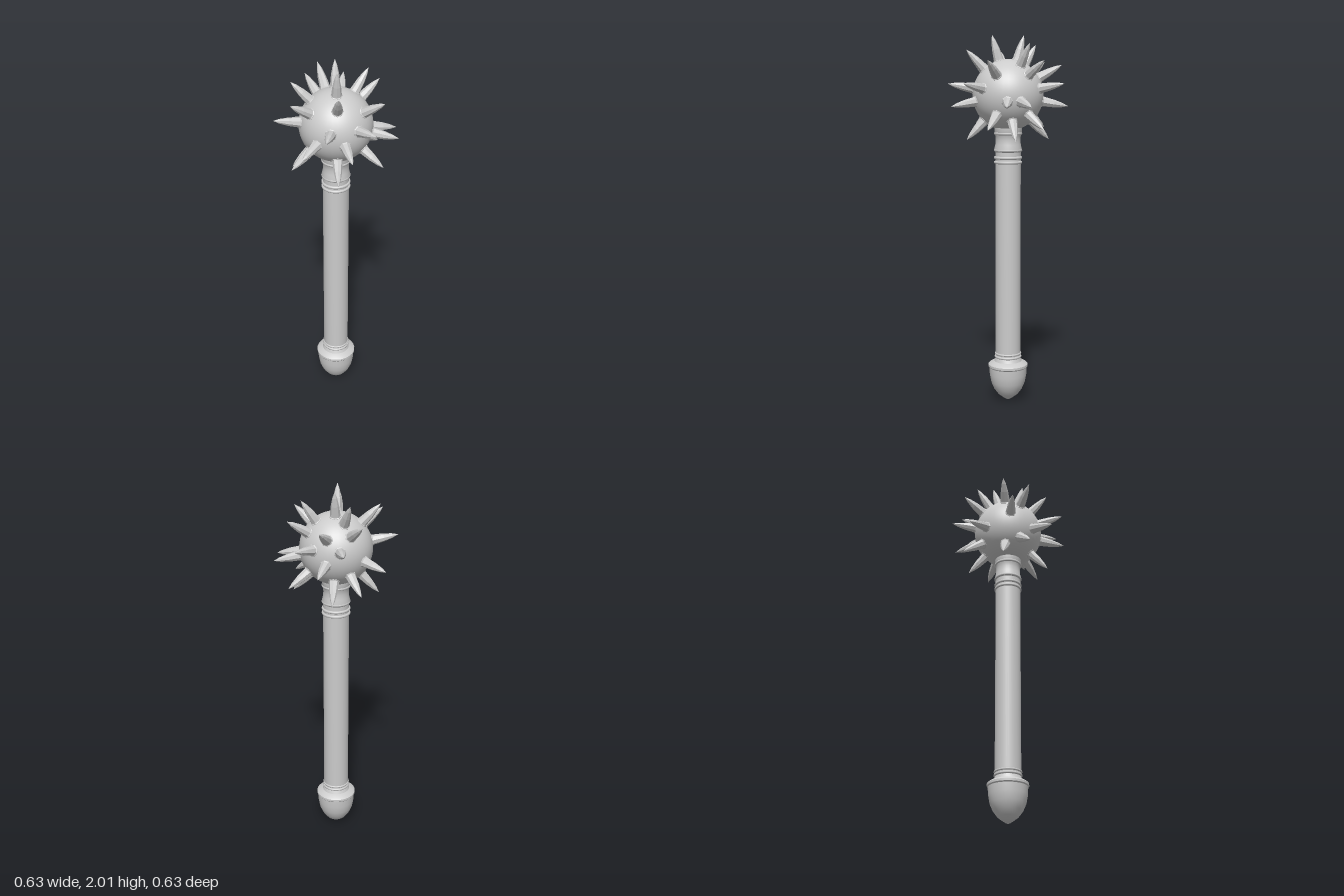
import * as THREE from 'three';
import { toCreasedNormals } from 'three/addons/utils/BufferGeometryUtils.js';

const HEAD_Y = 1.69;
const HEAD_R = 0.19;

const metal = new THREE.MeshStandardMaterial({ color: 0xcccccc, side: THREE.DoubleSide });
const faceted = new THREE.MeshStandardMaterial({ color: 0xcccccc, flatShading: true, side: THREE.DoubleSide });

// Turned part from [radius, height] pairs
function turned(name, profile, segments = 32) {
  const points = profile.map(([r, y]) => new THREE.Vector2(r, y));
  const geometry = toCreasedNormals(new THREE.LatheGeometry(points, segments), 0.6);
  const mesh = new THREE.Mesh(geometry, metal);
  mesh.name = name;
  return mesh;
}

// Rounded band around the handle
function band(name, y, radius, thickness) {
  const mesh = new THREE.Mesh(new THREE.TorusGeometry(radius, thickness, 8, 32), metal);
  mesh.rotation.x = Math.PI / 2;
  mesh.position.y = y;
  mesh.name = name;
  return mesh;
}

// Directions of the spike tips from the centre of the head
const spikeDirections = [
  // top
  [-0.06, 0.31, -0.06], [0.06, 0.31, 0.06], [0.06, 0.27, -0.18], [-0.18, 0.27, -0.06],
  // front
  [0.06, -0.06, 0.315], [-0.18, 0.06, 0.27], [0.18, 0.06, 0.27], [-0.06, 0.18, 0.27], [-0.06, -0.18, 0.27],
  // back
  [-0.06, 0.06, -0.315], [-0.18, -0.06, -0.27], [0.18, -0.06, -0.27], [0.06, 0.18, -0.27], [0.06, -0.18, -0.27],
  // left
  [0.315, 0.06, 0.06], [0.27, -0.06, 0.18], [0.27, -0.06, -0.18], [0.27, 0.18, -0.06], [0.27, -0.18, -0.06],
  // right
  [-0.315, -0.06, 0.06], [-0.27, 0.06, -0.18], [-0.27, 0.18, -0.06], [-0.27, -0.18, -0.06],
  // diagonals
  [0.16, 0.24, 0.16], [-0.16, 0.24, 0.16], [-0.16, 0.16, -0.24],
  [0.16, -0.24, 0.16], [-0.16, -0.24, 0.16], [0.16, -0.24, -0.16], [-0.16, -0.24, -0.16],
];

export function createModel() {
  const model = new THREE.Group();
  model.name = 'spikedMace';

  // Acorn-shaped pommel
  model.add(turned('pommel', [
    [0, 0], [0.012, 0.006], [0.028, 0.016], [0.055, 0.037], [0.078, 0.068], [0.094, 0.106],
    [0.102, 0.15], [0.104, 0.19], [0.109, 0.196], [0.109, 0.208], [0.1, 0.216], [0.076, 0.226], [0.068, 0.245],
  ]));

  // Plain shaft
  model.add(turned('shaft', [[0.068, 0.23], [0.069, 0.28], [0.069, 1.34]]));

  // Waisted neck below the head
  model.add(turned('neck', [
    [0.069, 1.33], [0.069, 1.385], [0.075, 1.39], [0.075, 1.4], [0.069, 1.425],
    [0.067, 1.45], [0.069, 1.475], [0.074, 1.485], [0.074, 1.525],
  ]));

  // Bands at both ends of the shaft
  model.add(band('lowerBand', 0.252, 0.068, 0.007));
  model.add(band('lowerBand', 0.27, 0.068, 0.006));
  for (const y of [1.33, 1.355, 1.395, 1.485]) model.add(band('upperBand', y, 0.069, 0.008));

  // Round head
  const head = new THREE.Group();
  head.name = 'head';
  head.position.y = HEAD_Y;
  const ball = new THREE.Mesh(new THREE.SphereGeometry(HEAD_R, 40, 28), metal);
  ball.name = 'ball';
  head.add(ball);

  // Eight-sided spikes, each with a small collar at its foot
  const spikeProfile = [
    [0.031, 0.175], [0.031, 0.189], [0.027, 0.192], [0.026, 0.2],
    [0.021, 0.25], [0.012, 0.295], [0, 0.328],
  ].map(([r, y]) => new THREE.Vector2(r, y));
  const spikeGeometry = new THREE.LatheGeometry(spikeProfile, 8);
  const up = new THREE.Vector3(0, 1, 0);
  for (const direction of spikeDirections) {
    const spike = new THREE.Mesh(spikeGeometry, faceted);
    spike.name = 'spike';
    spike.quaternion.setFromUnitVectors(up, new THREE.Vector3(...direction).normalize());
    head.add(spike);
  }
  model.add(head);

  return model;
}
